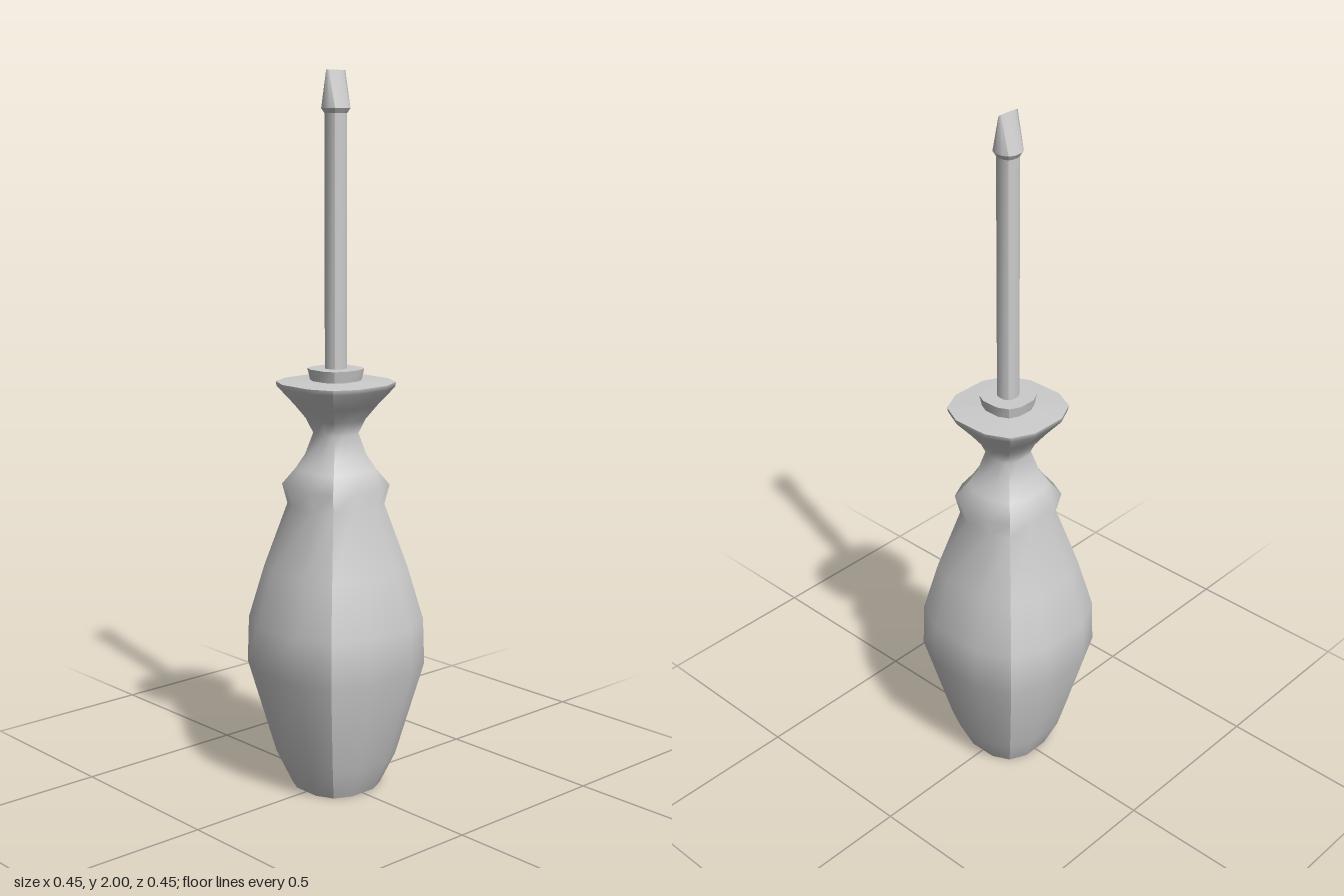
import * as THREE from 'three';

const material = new THREE.MeshStandardMaterial({ color: 0xcccccc });

// One of four panels of the squarish 12-sided section; panels meet in sharp corners
const PANEL = [[-0.79, 0.79], [-0.36, 1], [0.36, 1], [0.79, 0.79]];

function sectionPoint(panel, i) {
  let [x, z] = PANEL[i];
  for (let k = 0; k < panel; k++) [x, z] = [z, -x];
  return [x, z];
}

// Lofts the section through rows of [y, halfWidthX, halfWidthZ]
function loft(name, rows, capBottom = true, capTop = true) {
  const pos = [], index = [];
  for (let p = 0; p < 4; p++) {
    const base = pos.length / 3;
    rows.forEach(([y, hx, hz = hx], r) => {
      for (let i = 0; i < 4; i++) {
        const [x, z] = sectionPoint(p, i);
        pos.push(x * hx, y, z * hz);
        if (r === 0 || i === 3) continue;
        const b = base + r * 4 + i, a = b - 4;
        index.push(a, a + 1, b + 1, a, b + 1, b);
      }
    });
  }
  const cap = ([y, hx, hz = hx], up) => {
    const c = pos.length / 3;
    pos.push(0, y, 0);
    for (let n = 0; n < 12; n++) {
      const [x, z] = sectionPoint(Math.floor(n / 3), n % 3);
      pos.push(x * hx, y, z * hz);
      const a = c + 1 + n, b = c + 1 + (n + 1) % 12;
      index.push(c, up ? a : b, up ? b : a);
    }
  };
  if (capBottom) cap(rows[0], false);
  if (capTop) cap(rows[rows.length - 1], true);

  const geometry = new THREE.BufferGeometry();
  geometry.setAttribute('position', new THREE.Float32BufferAttribute(pos, 3));
  geometry.setIndex(index);
  geometry.computeVertexNormals();
  const mesh = new THREE.Mesh(geometry, material);
  mesh.name = name;
  return mesh;
}

export function createModel() {
  const group = new THREE.Group();
  group.name = 'screwdriver';

  // Swelling grip, ridge, waist and flared guard
  group.add(loft('handle', [
    [0, 0.112], [0.09, 0.152], [0.36, 0.224], [0.49, 0.22], [0.64, 0.18],
    [0.82, 0.121], [0.875, 0.134], [0.92, 0.1], [0.96, 0.076], [1.02, 0.056],
    [1.06, 0.074], [1.1, 0.104], [1.15, 0.146], [1.163, 0.148],
  ], true, false));
  group.add(loft('guardTop', [[1.163, 0.148], [1.168, 0.062]], false, true));

  // Metal parts
  group.add(loft('collar', [[1.16, 0.062], [1.2, 0.07]]));
  group.add(loft('shaft', [[1.19, 0.027], [1.89, 0.027]]));

  // Flat blade: a short flare, then a wedge closing to an edge along z
  group.add(loft('bladeFlare', [[1.885, 0.026], [1.9, 0.035]], true, false));
  group.add(loft('bladeTip', [[1.9, 0.035], [2, 0.001, 0.034]], false, true));
  return group;
}
